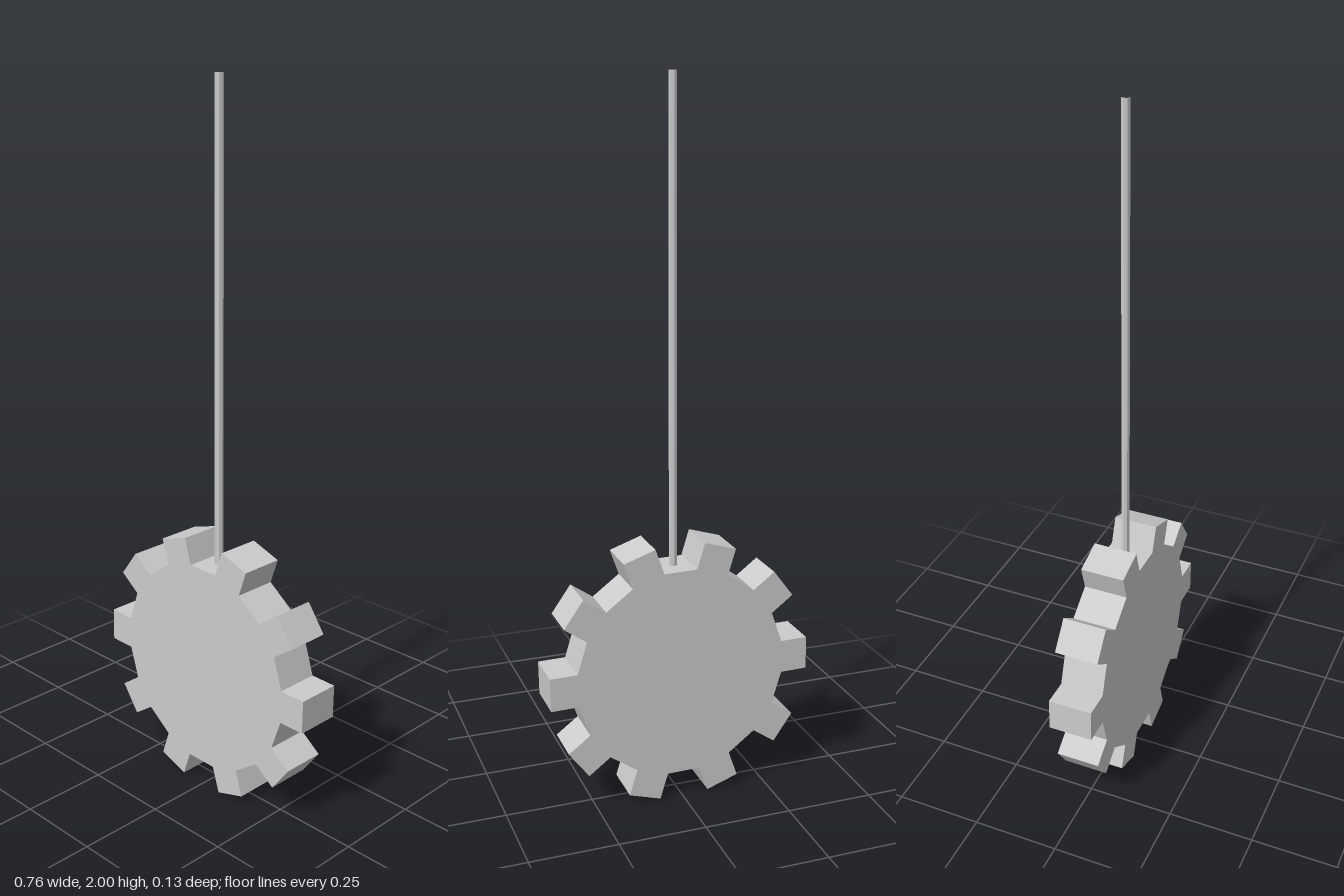
import * as THREE from 'three';

const TEETH = 10;
const ROOT_R = 0.306, TIP_R = 0.383;
const DEPTH = 0.126, CENTER_Y = 0.377;
const TILT = THREE.MathUtils.degToRad(-0.9);
const STEP = (Math.PI * 2) / TEETH;

// Closed outline: each tooth has two root corners and two tip corners
function gearShape() {
  const rootHalf = STEP / 4;
  const tipHalf = Math.asin((ROOT_R * Math.sin(rootHalf)) / TIP_R);
  const pts = [];
  for (let i = 0; i < TEETH; i++) {
    const mid = i * STEP + TILT;
    for (const [r, a] of [[ROOT_R, -rootHalf], [TIP_R, -tipHalf], [TIP_R, tipHalf], [ROOT_R, rootHalf]]) {
      pts.push(new THREE.Vector2(r * Math.cos(mid + a), r * Math.sin(mid + a)));
    }
  }
  return new THREE.Shape(pts);
}

export function createModel() {
  const model = new THREE.Group();
  model.name = 'hangingGear';
  const material = new THREE.MeshStandardMaterial({ color: 0xcccccc, flatShading: true });

  // Toothed wheel
  const gearGeo = new THREE.ExtrudeGeometry(gearShape(), { depth: DEPTH, bevelEnabled: false });
  gearGeo.translate(0, 0, -DEPTH / 2);
  const gear = new THREE.Mesh(gearGeo, material);
  gear.name = 'gearWheel';
  gear.position.y = CENTER_Y;
  model.add(gear);

  // Thin open-ended rod rising from the top valley between two teeth
  const bottom = CENTER_Y + ROOT_R * Math.cos(STEP / 4) - 0.002;
  const rod = new THREE.Mesh(new THREE.CylinderGeometry(0.012, 0.012, 2 - bottom, 8, 1, true), material);
  rod.name = 'hangingRod';
  rod.position.set(0.005, (2 + bottom) / 2, 0);
  model.add(rod);

  return model;
}
